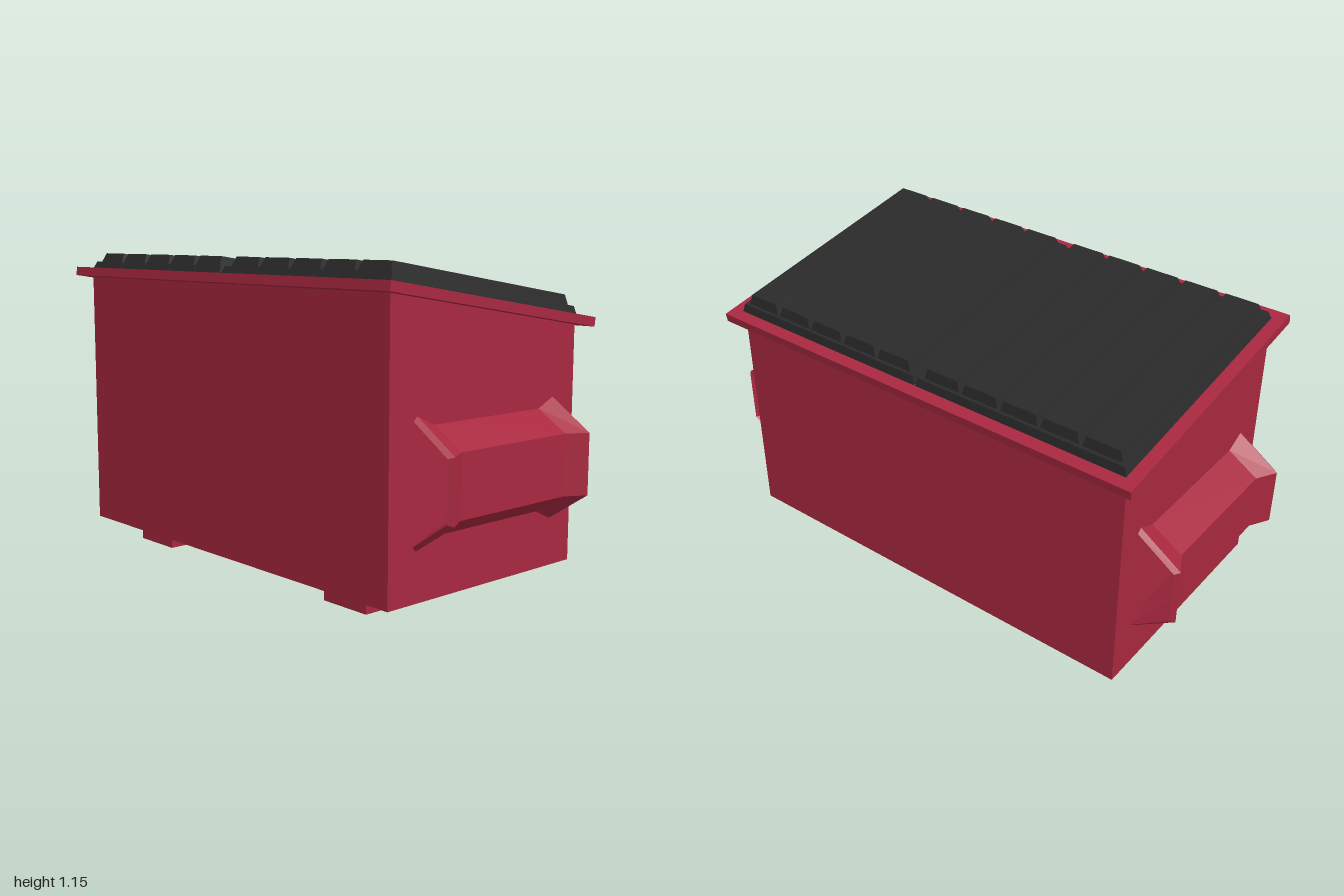
import * as THREE from 'three';

const red = new THREE.MeshStandardMaterial({ color: 0xa8283f, flatShading: true });
const black = new THREE.MeshStandardMaterial({ color: 0x2a2a2a, flatShading: true });
const TILT = -0.153;

function add(parent, name, geometry, material, x = 0, y = 0, z = 0) {
  const mesh = new THREE.Mesh(geometry, material);
  mesh.name = name;
  mesh.position.set(x, y, z);
  parent.add(mesh);
  return mesh;
}

// Box standing on y = 0 whose top is narrowed by inset on every side
function taperedBox(w, h, d, insetX, insetZ) {
  const g = new THREE.BoxGeometry(w, h, d).translate(0, h / 2, 0);
  const p = g.attributes.position;
  for (let i = 0; i < p.count; i++) {
    if (p.getY(i) > h / 2) {
      p.setX(i, p.getX(i) - Math.sign(p.getX(i)) * insetX);
      p.setZ(i, p.getZ(i) - Math.sign(p.getZ(i)) * insetZ);
    }
  }
  g.computeVertexNormals();
  return g;
}

// Thin folded sleeve: outer skin, flared mouths and inner skin as one closed loft along x
function sleeveGeometry() {
  // x, top y, upper crease y, lower crease y, bottom y, outermost z
  const half = [
    [0.26, 0.64, 0.565, 0.35, 0.275, 0.955],
    [0.335, 0.675, 0.565, 0.35, 0.24, 0.998],
    [0.352, 0.66, 0.56, 0.357, 0.255, 0.982],
    [0.26, 0.62, 0.555, 0.36, 0.295, 0.94],
  ];
  const mirrored = half.map(([x, ...rest]) => [-x, ...rest]).reverse();
  const rings = [...half, ...mirrored].map(([x, top, up, low, bottom, z]) => [
    [x, top, 0.835], [x, up, z], [x, low, z], [x, bottom, 0.835],
  ]);
  const pos = [];
  rings.forEach((a, i) => {
    const b = rings[(i + 1) % rings.length];
    for (let j = 0; j < 3; j++) {
      pos.push(...a[j], ...a[j + 1], ...b[j + 1], ...a[j], ...b[j + 1], ...b[j]);
    }
  });
  const g = new THREE.BufferGeometry();
  g.setAttribute('position', new THREE.Float32BufferAttribute(pos, 3));
  g.computeVertexNormals();
  return g;
}

export function createModel() {
  const model = new THREE.Group();
  model.name = 'wasteContainer';

  // Body with sloping top
  const side = new THREE.Shape([
    new THREE.Vector2(-0.458, 0.073), new THREE.Vector2(0.448, 0.073),
    new THREE.Vector2(0.448, 0.93), new THREE.Vector2(-0.458, 1.07),
  ]);
  const body = new THREE.ExtrudeGeometry(side, { depth: 1.68, bevelEnabled: false });
  add(model, 'body', body.translate(0, 0, -0.84), red);

  // Skids and fork sleeves at both ends
  const sleeve = sleeveGeometry();
  const sleeveMaterial = red.clone();
  sleeveMaterial.side = THREE.DoubleSide;
  for (const s of [1, -1]) {
    const end = s > 0 ? 'front' : 'back';
    add(model, end + 'Skid', new THREE.BoxGeometry(0.735, 0.075, 0.205), red, -0.003, 0.0375, s * 0.552);
    add(model, end + 'ForkSleeve', sleeve, sleeveMaterial).rotation.y = s > 0 ? 0 : Math.PI;
  }

  // Tilted rim with two ribbed lids
  const top = new THREE.Group();
  top.name = 'slopedTop';
  top.position.y = 1.017;
  top.rotation.z = TILT;
  model.add(top);
  add(top, 'rim', new THREE.BoxGeometry(1.017, 0.033, 1.776), red, 0, -0.0165, 0);

  const plate = taperedBox(0.925, 0.03, 0.838, 0.01, 0.009);
  const rib = taperedBox(0.882, 0.037, 0.148, 0.011, 0.011);
  for (const s of [1, -1]) {
    const lid = new THREE.Group();
    lid.name = s > 0 ? 'frontLid' : 'backLid';
    top.add(lid);
    add(lid, 'lidPlate', plate, black, 0, 0, s * 0.422);
    for (let i = 0; i < 5; i++) {
      add(lid, 'lidRib', rib, black, 0, 0.0295, s * (0.106 + i * 0.159));
    }
  }
  return model;
}
